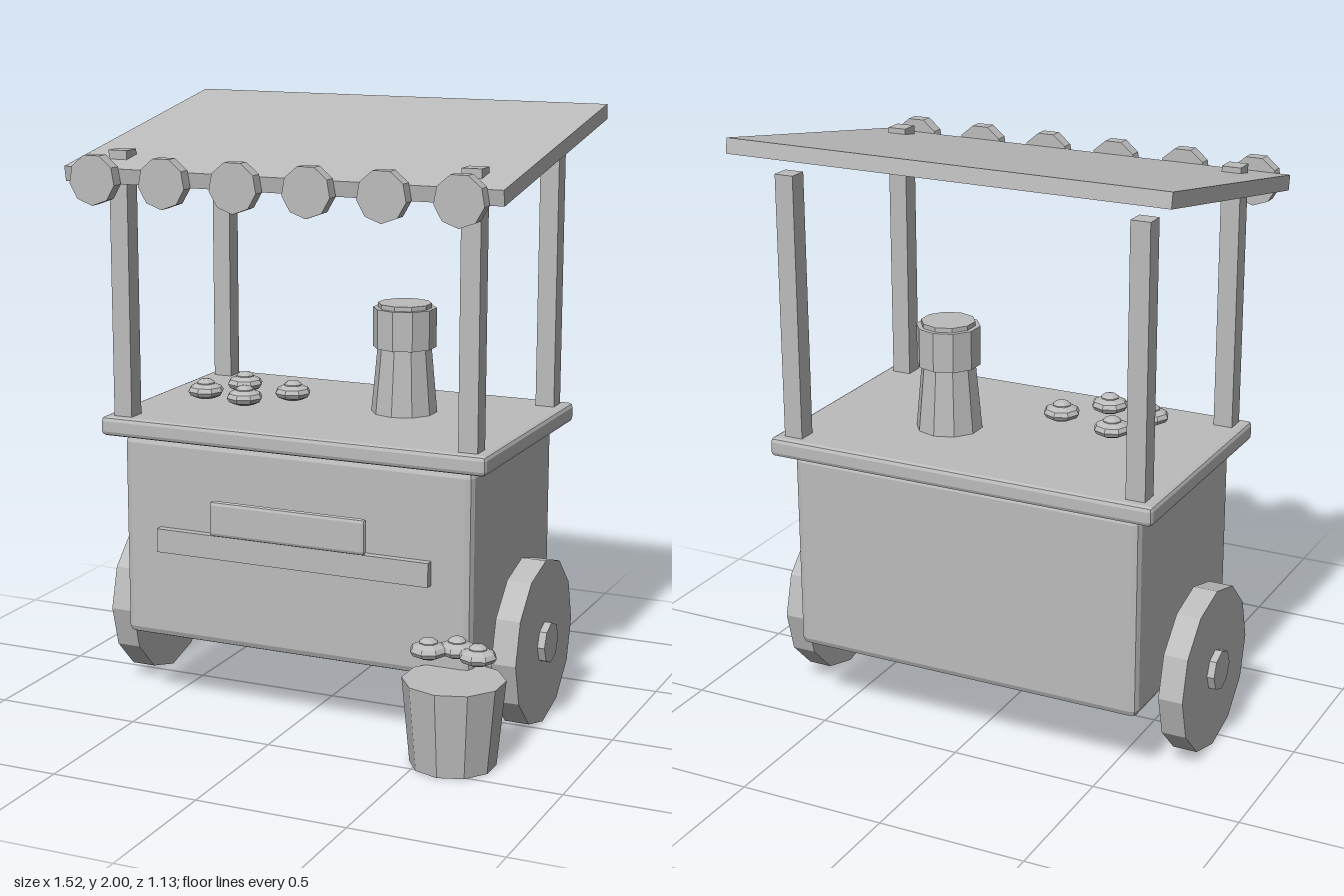
import * as THREE from 'three';
import { RoundedBoxGeometry } from 'three/addons/geometries/RoundedBoxGeometry.js';

export function createModel() {
  const cart = new THREE.Group();
  cart.name = 'foodCart';
  const grey = new THREE.MeshStandardMaterial({ color: 0xbcbcbc, flatShading: true });
  grey.name = 'plainGrey';

  const add = (name, geometry, x, y, z, parent = cart) => {
    const mesh = new THREE.Mesh(geometry, grey);
    mesh.name = name;
    mesh.position.set(x, y, z);
    parent.add(mesh);
    return mesh;
  };
  const box = (w, h, d) => new THREE.BoxGeometry(w, h, d);
  const chamferBox = (w, h, d, c) => new RoundedBoxGeometry(w, h, d, 1, c);
  const cyl = (top, bottom, h, sides) => new THREE.CylinderGeometry(top, bottom, h, sides);

  // Cabinet and counter
  add('body', chamferBox(1.24, 0.69, 0.757, 0.025), 0, 0.585, -0.067);
  add('counter', chamferBox(1.36, 0.065, 0.855, 0.015), 0, 0.962, -0.067);
  add('frontStrip', box(0.97, 0.08, 0.03), 0, 0.586, 0.325);
  add('signPanel', chamferBox(0.555, 0.12, 0.026, 0.0125), 0, 0.69, 0.353);

  // Posts
  for (const x of [-0.61, 0.61])
    for (const z of [0.297, -0.425]) add('post', box(0.065, 0.91, 0.065), x, 1.42, z);

  // Sloping roof with a scalloped front edge
  add('roof', box(1.5, 0.05, 1), 0, 1.89, -0.0675).rotation.x = THREE.MathUtils.degToRad(10);
  for (let i = 0; i < 6; i++)
    add('scallop', cyl(0.0825, 0.0825, 0.044, 9), -0.625 + i * 0.25, 1.794, 0.45).rotation.x = Math.PI / 2;

  // Wheels and hubs
  for (const side of [-1, 1]) {
    add('wheel', cyl(0.278, 0.278, 0.083, 12), side * 0.696, 0.278, -0.067).rotation.z = Math.PI / 2;
    add('hub', cyl(0.069, 0.069, 0.09, 8), side * 0.717, 0.278, -0.067).rotation.z = Math.PI / 2;
  }

  // Drink urn on the counter
  const urn = new THREE.Group();
  urn.name = 'urn';
  urn.position.set(0.205, 0, -0.132);
  cart.add(urn);
  add('urnBase', cyl(0.09, 0.111, 0.225, 10), 0, 1.103, 0, urn);
  add('urnTop', cyl(0.106, 0.106, 0.132, 10), 0, 1.281, 0, urn);
  add('urnLid', cyl(0.09, 0.09, 0.02, 10), 0, 1.352, 0, urn);

  // Tapered bucket
  add('bucket', cyl(0.165, 0.138, 0.28, 10), 0.6, 0.14, 0.398);

  // Buns on the counter and above the bucket
  const bunShape = new THREE.SphereGeometry(0.062, 8, 6).scale(1, 0.45, 1);
  const toppingShape = new THREE.SphereGeometry(0.032, 8, 5).scale(1, 0.6, 1);
  const buns = [
    [-0.42, 1.055, 0.1], [-0.353, 1.055, -0.06], [-0.255, 1.055, 0.14], [-0.142, 1.055, 0.005],
    [0.512, 0.362, 0.395], [0.59, 0.362, 0.348], [0.676, 0.362, 0.39],
  ];
  for (const [x, y, z] of buns) {
    add('bun', bunShape, x, y, z);
    add('bunTopping', toppingShape, x, y + 0.022, z);
  }
  return cart;
}
